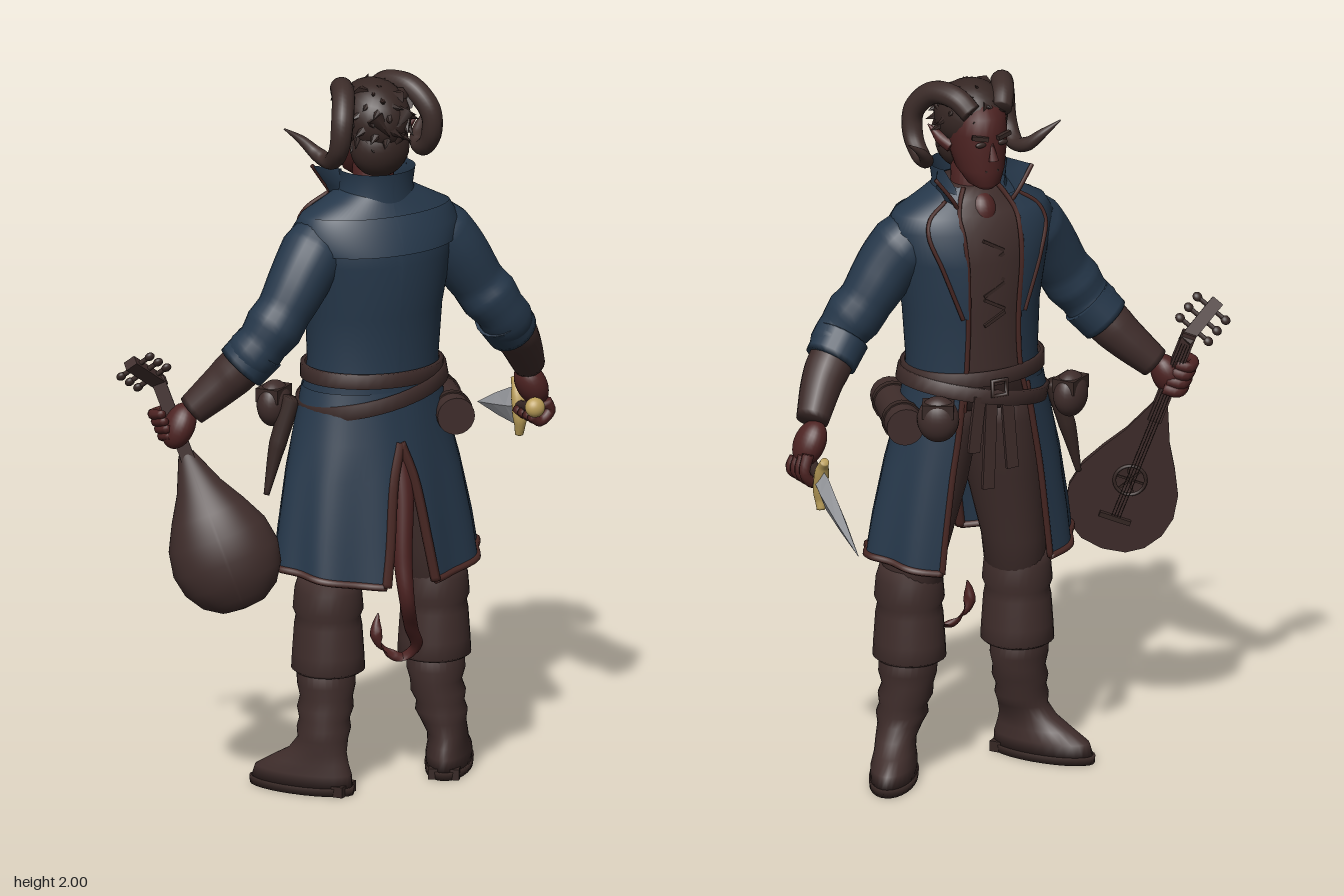
import * as THREE from 'three';
import { mergeVertices } from 'three/addons/utils/BufferGeometryUtils.js';

const mat = (name, color) => new THREE.MeshStandardMaterial({ name, color, side: THREE.DoubleSide });
const M = {
  leather: mat('leather brown', 0x3f2d2b), dark: mat('dark brown', 0x362724), horn: mat('horn brown', 0x3d2d2a),
  blue: mat('coat blue', 0x26384b), skin: mat('red skin', 0x4d2322), trim: mat('coat trim', 0x482723),
  steel: mat('steel', 0xa3a5aa), gold: mat('gold', 0xb89c58),
};
const CX = 0.055; // body centre line
const V = (p) => new THREE.Vector3(...p);

function add(parent, name, geo, material, pos = [0, 0, 0], rot = [0, 0, 0], scale = [1, 1, 1]) {
  const m = new THREE.Mesh(geo, material);
  m.name = name;
  m.position.set(...pos); m.rotation.set(...rot); m.scale.set(...scale);
  parent.add(m);
  return m;
}

// Grid surface from rows of points; outward for rows rising and points turning from -z to +x
function grid(rows, flip = false) {
  const n = rows[0].length, idx = [];
  for (let i = 0; i < rows.length - 1; i++) for (let j = 0; j < n - 1; j++) {
    const a = i * n + j, b = a + 1, c = a + n, d = c + 1;
    flip ? idx.push(a, b, c, b, d, c) : idx.push(a, c, b, b, c, d);
  }
  let g = new THREE.BufferGeometry();
  g.setAttribute('position', new THREE.Float32BufferAttribute(rows.flat(2), 3));
  g.setIndex(idx);
  g = mergeVertices(g, 1e-5);
  g.computeVertexNormals();
  return g;
}
// Rings: [y, cx, cz, rx, rz, startAngle, endAngle, ripple, side lift]; angle 0 faces -z
const ringPoint = ([y, cx, cz, rx, rz, , , w = 0, lift = 0], a, s = 1) => {
  const k = 1 + w * Math.sin(9 * a);
  return [cx + s * rx * k * Math.sin(a), y + lift * Math.sin(a) ** 2, cz - rz * k * Math.cos(a)];
};
const sweep = (rings, seg, s = 1) => rings.map((r) => Array.from({ length: seg + 1 },
  (_, j) => ringPoint(r, (r[5] ?? 0) + ((r[6] ?? Math.PI * 2) - (r[5] ?? 0)) * j / seg, s)));
const capped = (r) => {
  const end = (q) => [q[0], q[1], q[2], 0, 0];
  return [end(r[0]), ...r, end(r[r.length - 1])];
};
const loft = (rings, seg = 28) => grid(sweep(capped(rings), seg));
const panel = (rings, s) => grid(sweep(rings, 36, s), s < 0);

// Tube of changing radius along a curve, closed at both ends
function taper(pts, radii, n = 24, seg = 12) {
  const c = new THREE.CatmullRomCurve3(pts.map(V)), f = c.computeFrenetFrames(n), rows = [];
  for (let i = -1; i <= n + 1; i++) {
    const k = Math.min(n, Math.max(0, i)), t = k / n, u = t * (radii.length - 1), q = Math.min(radii.length - 2, Math.floor(u));
    const r = i === k ? THREE.MathUtils.lerp(radii[q], radii[q + 1], u - q) : 0, p = c.getPoint(t);
    rows.push(Array.from({ length: seg + 1 }, (_, j) => {
      const a = j / seg * Math.PI * 2;
      return p.clone().addScaledVector(f.normals[k], r * Math.cos(a)).addScaledVector(f.binormals[k], r * Math.sin(a)).toArray();
    }));
  }
  return grid(rows, true);
}
const ball = new THREE.SphereGeometry(1, 24, 16);
const box = (x, y, z) => new THREE.BoxGeometry(x, y, z);

function buildCoat(g) {
  const body = [
    [1.08, CX - 0.01, 0.13, 0.205, 0.155, 0.5], [1.2, CX, 0.125, 0.188, 0.148, 0.45], [1.35, CX, 0.13, 0.197, 0.152, 0.4],
    [1.5, CX, 0.135, 0.224, 0.164, 0.38], [1.59, CX, 0.138, 0.245, 0.145, 0.36], [1.63, CX, 0.14, 0.222, 0.122, 0.4],
    [1.67, CX, 0.143, 0.145, 0.1, 0.5], [1.7, CX, 0.145, 0.09, 0.087, 0.6]];
  const skirt = [
    [0.61, CX - 0.008, 0.157, 0.3, 0.206, 0.6, Math.PI - 0.25, 0.03, 0.04], [0.72, CX - 0.008, 0.152, 0.288, 0.196, 0.58, Math.PI - 0.2, 0.025, 0.02],
    [0.9, CX - 0.01, 0.144, 0.258, 0.178, 0.55, Math.PI - 0.12, 0.015], [1.0, CX - 0.01, 0.137, 0.232, 0.166, 0.53, Math.PI, 0.006],
    [1.14, CX - 0.008, 0.13, 0.2, 0.152, 0.5, Math.PI]];
  const collar = [[1.64, CX, 0.14, 0.125, 0.107, 0.6], [1.7, CX, 0.143, 0.102, 0.098, 0.8], [1.75, CX, 0.147, 0.108, 0.1, 1.1]];
  const lapel = body.slice(2, 7).map(([y, x, z, rx, rz, a], i) => [y, x, z, rx * 1.035, rz * 1.05, a, a + [0.08, 0.32, 0.42, 0.4, 0.3][i]]);
  const yoke = [[1.535, CX, 0.138, 0.235, 0.17, 1.9], [1.59, CX, 0.139, 0.247, 0.151, 1.9], [1.635, CX, 0.14, 0.22, 0.124, 1.9]];
  for (const r of [body, collar, yoke]) r.forEach((q) => { q[6] = Math.PI; });
  add(g, 'shirt', loft(body.map(([y, x, z, rx, rz]) => [y, x, z, rx * 0.95, rz * 0.94])), M.leather);
  for (const s of [1, -1]) {
    for (const [name, rings] of [['coatBody', body], ['coatSkirt', skirt], ['coatCollar', collar], ['coatLapel', lapel], ['coatYoke', yoke]])
      add(g, name, panel(rings, s), M.blue);
    // spread collar points
    const X = (x) => CX + s * x;
    add(g, 'collarPoint', grid([[[X(0.075), 1.64, 0.05], [X(0.115), 1.655, 0.12]], [[X(0.1), 1.68, 0.04], [X(0.105), 1.7, 0.13]], [[X(0.148), 1.745, 0.05], [X(0.1), 1.75, 0.13]]]), M.blue);
    add(g, 'collarTrim', taper([[X(0.075), 1.64, 0.05], [X(0.1), 1.68, 0.04], [X(0.148), 1.745, 0.05]], [0.006, 0.006], 12, 6), M.trim);
    // edging along the openings and hem
    const edge = (rings, k, r = 0.009) => add(g, 'coatTrim', taper(rings.map((q) => ringPoint(q, q[k], s)), [r, r], 30, 6), M.trim);
    edge(body, 5, 0.007); edge(skirt, 5); edge(skirt.slice(0, 4), 6, 0.014); edge(lapel, 6, 0.006);
    const h = skirt[0], hem = Array.from({ length: 25 }, (_, i) => ringPoint(h, h[5] + (h[6] - h[5]) * i / 24, s));
    add(g, 'hemTrim', taper(hem, [0.01, 0.01], 60, 6), M.trim);
  }
  // shirt lacing
  for (let i = 0; i < 6; i++) add(g, 'shirtLace', box(0.07, 0.009, 0.008), M.dark, [CX, 1.34 + i * 0.042, -0.016 + i * 0.0015], [0, 0, i % 2 ? 0.5 : -0.5]);
  add(g, 'chestSkin', ball, M.skin, [CX, 1.625, 0.07], [0, 0, 0], [0.045, 0.06, 0.05]);
}

function buildHead(g) {
  add(g, 'neck', loft([[1.58, CX, 0.13, 0.065, 0.065], [1.68, CX, 0.13, 0.056, 0.058], [1.78, CX, 0.125, 0.055, 0.06]]), M.skin);
  add(g, 'face', loft([[1.705, CX, 0.045, 0.022, 0.028], [1.72, CX, 0.05, 0.045, 0.05], [1.76, CX, 0.075, 0.066, 0.078], [1.81, CX, 0.09, 0.076, 0.093],
    [1.86, CX, 0.1, 0.082, 0.104], [1.91, CX, 0.11, 0.08, 0.108], [1.95, CX, 0.115, 0.06, 0.08]]), M.skin);
  add(g, 'nose', new THREE.ConeGeometry(0.015, 0.06, 8), M.skin, [CX, 1.825, -0.005], [0.2, 0, 0]);
  add(g, 'mouth', box(0.04, 0.006, 0.008), M.dark, [CX, 1.763, 0.003]);
  add(g, 'hair', ball, M.dark, [CX, 1.89, 0.13], [0.3, 0, 0], [0.099, 0.1, 0.115]);
  add(g, 'napeHair', ball, M.dark, [CX, 1.81, 0.165], [0, 0, 0], [0.085, 0.085, 0.07]);
  // tousled locks over the crown and back
  for (let i = 0; i < 80; i++) {
    const u = 1 - 1.6 * (i + 0.5) / 80, a = i * 2.4, q = Math.sqrt(1 - u * u);
    const d = V([q * Math.sin(a), u, q * Math.cos(a)]);
    if (d.z < -0.2 && d.y < 0.35) continue;
    const lock = add(g, 'hairLock', new THREE.ConeGeometry(0.026, 0.07, 6), M.dark,
      [CX + d.x * 0.09, 1.878 + d.y * 0.095, 0.128 + d.z * 0.108]);
    lock.quaternion.setFromUnitVectors(V([0, 1, 0]), d.clone().add(V([Math.sin(i * 7) * 0.9, -0.7, Math.cos(i * 5) * 0.8])).normalize());
  }
  for (const s of [1, -1]) {
    const X = (x) => CX + s * x;
    add(g, 'eye', ball, M.dark, [X(0.033), 1.842, 0.002], [0, 0, 0], [0.016, 0.008, 0.006]);
    add(g, 'eyebrow', box(0.046, 0.012, 0.012), M.dark, [X(0.036), 1.862, 0.0], [0, -s * 0.3, s * 0.15]);
    add(g, 'ear', taper([[X(0.07), 1.815, 0.105], [X(0.092), 1.835, 0.13], [X(0.118), 1.87, 0.155]], [0.02, 0.018, 0.002]), M.skin);
    add(g, 'horn', taper([[X(0.045), 1.925, 0.035], [X(0.07), 1.96, 0.075], [X(0.105), 1.96, 0.15], [X(0.137), 1.9, 0.203], [X(0.143), 1.825, 0.195],
      [X(0.142), 1.78, 0.145], [X(0.155), 1.79, 0.09], [X(0.185), 1.825, 0.06], [X(0.232), 1.86, 0.045]],
    [0.03, 0.032, 0.032, 0.031, 0.028, 0.025, 0.02, 0.013, 0.002], 60, 14), M.horn);
  }
}

function buildLegs(g) {
  for (const s of [1, -1]) {
    const x = s > 0 ? 0.23 : -0.1, leg = new THREE.Group();
    leg.name = 'leg'; g.add(leg);
    add(leg, 'trouserLeg', loft([[0.48, x, 0.155, 0.08, 0.085], [0.65, x - s * 0.015, 0.15, 0.086, 0.098], [0.85, x - s * 0.05, 0.14, 0.105, 0.118],
      [1.02, x - s * 0.075, 0.13, 0.11, 0.125], [1.12, CX + s * 0.07, 0.13, 0.1, 0.12]]), M.leather);
    add(leg, 'bootCuff', loft([[0.335, x, 0.155, 0.088, 0.09], [0.345, x, 0.155, 0.1, 0.106], [0.39, x, 0.155, 0.098, 0.102], [0.47, x, 0.155, 0.092, 0.098],
      [0.495, x, 0.155, 0.087, 0.094], [0.515, x, 0.155, 0.096, 0.101], [0.57, x, 0.155, 0.091, 0.097], [0.605, x, 0.155, 0.08, 0.087]]), M.leather);
    const boot = new THREE.Group();
    boot.name = 'boot'; boot.position.set(x + s * 0.03, 0, 0.172); boot.rotation.y = -s * 0.6;
    leg.add(boot);
    const i = -s * 0.03; // the shaft leans inward from the foot
    add(boot, 'sole', loft([[0, 0, -0.06, 0.064, 0.156], [0.022, 0, -0.06, 0.066, 0.158]]), M.dark);
    add(boot, 'bootShaft', loft([[0.02, 0, -0.06, 0.063, 0.152], [0.055, 0, -0.055, 0.062, 0.145], [0.085, 0, -0.035, 0.056, 0.115], [0.115, 0, -0.012, 0.056, 0.085],
      [0.15, i * 0.3, 0, 0.062, 0.071], [0.18, i * 0.5, 0, 0.072, 0.075], [0.205, i * 0.6, 0, 0.066, 0.07], [0.235, i * 0.8, 0, 0.076, 0.078],
      [0.265, i, 0, 0.071, 0.073], [0.3, i, 0, 0.081, 0.08], [0.4, i * 1.2, -0.01, 0.08, 0.08]]), M.leather);
    add(boot, 'heel', box(0.085, 0.03, 0.07), M.dark, [0, 0.015, 0.05]);
  }
  add(g, 'tail', taper([[0.05, 1.02, 0.26], [0.05, 0.86, 0.305], [0.035, 0.68, 0.335], [0.04, 0.56, 0.35], [0.075, 0.47, 0.31], [0.108, 0.405, 0.275],
    [0.075, 0.372, 0.25], [0.03, 0.4, 0.24], [0.005, 0.45, 0.235], [0.015, 0.5, 0.23]],
  [0.034, 0.031, 0.026, 0.021, 0.019, 0.017, 0.016, 0.015, 0.02, 0.002], 60), M.skin);
}

function buildArms(g) {
  for (const s of [1, -1]) {
    const X = (x) => CX + s * x, arm = new THREE.Group(), z = s > 0 ? 0.03 : 0;
    arm.name = 'arm'; g.add(arm);
    add(arm, 'sleeve', taper([[X(0.165), 1.568, 0.14], [X(0.23), 1.49, 0.16], [X(0.3), 1.385, 0.17], [X(0.36), 1.3, 0.16 + z], [X(0.408), 1.235, 0.135 + z]],
      [0.08, 0.092, 0.088, 0.083, 0.076, 0.081, 0.071, 0.075, 0.066], 32, 20), M.blue);
    add(arm, 'sleeveCuff', taper([[X(0.365), 1.285, 0.153 + z], [X(0.413), 1.228, 0.132 + z]], [0.076, 0.073], 6, 20), M.blue);
    const wrist = s > 0 ? [0.565, 1.095, 0.08] : [-0.475, 1.105, 0.065], hand = s > 0 ? [0.575, 1.035, 0.075] : [-0.512, 1.065, 0.06];
    add(arm, 'bracer', taper([[X(0.395), 1.25, 0.14 + z], [X(0.45), 1.185, 0.105 + z], wrist], [0.064, 0.063, 0.055, 0.045], 16, 16), M.leather);
    add(arm, 'hand', ball, M.skin, hand, [0, 0, s * 0.45], [0.042, 0.066, 0.05]);
    // curled fingers around the grip
    for (let i = 0; i < 4; i++) {
      const pts = s > 0
        ? [[0.605, 1.02 - i * 0.01, 0.025 + i * 0.026], [0.618, 0.97 - i * 0.003, 0.02 + i * 0.028], [0.585, 0.935, 0.025 + i * 0.028], [0.55, 0.955, 0.03 + i * 0.028]]
        : [[-0.485 - i * 0.012, 1.04 + i * 0.022, 0.03], [-0.515 - i * 0.012, 1.03 + i * 0.022, 0.01], [-0.55 - i * 0.01, 1.035 + i * 0.022, 0.035], [-0.548 - i * 0.008, 1.045 + i * 0.022, 0.08]];
      add(arm, 'finger', taper(pts, [0.017, 0.016, 0.015, 0.011], 12, 8), M.skin);
    }
  }
}

function buildBelts(g) {
  const band = (y, h, r, tilt) => {
    const hoop = [[-h, 0, 0, r, r * 0.79], [-h, 0, 0, r + 0.012, r * 0.79 + 0.012], [h, 0, 0, r + 0.012, r * 0.79 + 0.012], [h, 0, 0, r, r * 0.79]];
    add(g, 'belt', grid(sweep(hoop, 40)), M.leather, [CX - 0.004, y, 0.128], [0, 0, tilt]);
  };
  band(1.175, 0.02, 0.193, -0.02);
  band(1.12, 0.02, 0.207, 0.2);
  add(g, 'buckle', new THREE.TorusGeometry(0.03, 0.007, 8, 4), M.dark, [CX, 1.15, -0.045], [0, 0, Math.PI / 4]);
  for (const [x, y, h] of [[0.02, 1.02, 0.22], [0.08, 1.0, 0.28], [0.12, 1.05, 0.16]])
    add(g, 'hangingStrap', box(0.035, h, 0.012), M.leather, [x, y, -0.035], [0, 0, (x - 0.06) * 2]);
  // rolled pack on the hip
  const roll = add(g, 'hipRoll', new THREE.CylinderGeometry(0.052, 0.052, 0.28, 20), M.leather, [0.262, 1.05, 0.165], [Math.PI / 2, 0, 0.3]);
  for (const y of [-0.08, 0.08]) add(roll, 'rollStrap', new THREE.CylinderGeometry(0.056, 0.056, 0.022, 20), M.dark, [0, y, 0]);
  for (const [x, z, a] of [[0.225, -0.01, -0.5], [-0.195, 0.02, 0.6]]) {
    const pouch = add(g, 'pouch', ball, M.leather, [x, 1.075, z], [0, a, 0], [0.058, 0.065, 0.045]);
    add(pouch, 'pouchFlap', box(1.5, 0.6, 1.5), M.dark, [0, 0.45, 0]);
  }
  add(g, 'scabbard', taper([[-0.165, 1.1, 0.07], [-0.205, 0.97, 0.06], [-0.24, 0.83, 0.06]], [0.026, 0.024, 0.008]), M.dark);
}

function buildDagger(g) {
  const d = new THREE.Group(), from = V([0.583, 0.948, -0.012]), y = V([0.65, 0.857, -0.37]).sub(from), L = y.length();
  d.name = 'dagger'; y.normalize();
  const x = V([0, 1, 0]).addScaledVector(y, -y.y).normalize();
  d.quaternion.setFromRotationMatrix(new THREE.Matrix4().makeBasis(x, y, x.clone().cross(y)));
  d.position.copy(from); g.add(d);
  const blade = loft([[0, 0, 0, 0.042, 0.018], [0.06, 0, 0, 0.05, 0.02], [0.2, 0, 0, 0.031, 0.014], [L, 0, 0, 0.001, 0.001]], 4).toNonIndexed();
  blade.computeVertexNormals();
  add(d, 'blade', blade, M.steel);
  add(d, 'guard', taper([[-0.078, 0.015, 0], [-0.04, -0.002, 0], [0.04, -0.002, 0], [0.078, 0.015, 0]], [0.012, 0.015, 0.021, 0.021, 0.015, 0.012]), M.gold);
  add(d, 'grip', new THREE.CylinderGeometry(0.016, 0.016, 0.14, 12), M.dark, [0, -0.07, 0]);
  add(d, 'pommel', ball, M.gold, [0, -0.15, 0], [0, 0, 0], [0.028, 0.023, 0.028]);
}

function buildLute(g) {
  const l = new THREE.Group();
  l.name = 'lute'; l.position.set(-0.422, 0.74, 0.125); l.rotation.set(-0.12, -0.45, 0.3); g.add(l);
  const prof = [[-0.2, 0.002], [-0.19, 0.064], [-0.16, 0.108], [-0.11, 0.14], [-0.05, 0.152], [0.02, 0.14], [0.09, 0.105], [0.16, 0.064], [0.26, 0.022]];
  for (const s of [1, -1]) add(l, 'luteBowl', panel(prof.map(([y, r]) => [y, 0, 0, r, r * 0.68, Math.PI / 2, Math.PI]), s), M.leather);
  const pts = [...prof.map(([y, r]) => new THREE.Vector2(r, y)), ...prof.slice().reverse().map(([y, r]) => new THREE.Vector2(-r, y))];
  const face = new THREE.Shape(pts);
  face.holes.push(new THREE.Path().absarc(0, 0.02, 0.042, 0, Math.PI * 2, true));
  add(l, 'soundboard', new THREE.ExtrudeGeometry(face, { depth: 0.008, bevelEnabled: false }), M.leather, [0, 0, -0.008]);
  add(l, 'rosette', new THREE.TorusGeometry(0.043, 0.005, 6, 28), M.dark, [0, 0.02, -0.009]);
  for (let i = 0; i < 3; i++) add(l, 'roseLattice', box(0.084, 0.006, 0.005), M.dark, [0, 0.02, -0.004], [0, 0, i * Math.PI / 3]);
  add(l, 'bridge', box(0.09, 0.014, 0.014), M.dark, [0, -0.1, -0.013]);
  add(l, 'neck', box(0.038, 0.28, 0.03), M.leather, [0, 0.35, 0]);
  for (let i = 0; i < 4; i++) add(l, 'string', box(0.002, 0.56, 0.002), M.dark, [-0.012 + i * 0.008, 0.18, -0.018]);
  const head = new THREE.Group();
  head.name = 'pegbox'; head.position.set(0, 0.475, 0); head.rotation.set(0.75, 0, 0.4); l.add(head);
  add(head, 'pegboxBody', box(0.036, 0.15, 0.028), M.leather, [0, 0.06, 0]);
  for (let i = 0; i < 3; i++) {
    add(head, 'tuningPeg', new THREE.CylinderGeometry(0.007, 0.007, 0.1, 8), M.dark, [0, 0.03 + i * 0.04, 0], [0, 0, Math.PI / 2]);
    for (const s of [1, -1]) add(head, 'pegKnob', ball, M.dark, [s * 0.05, 0.03 + i * 0.04, 0], [0, 0, 0], [0.014, 0.013, 0.01]);
  }
}

export function createModel() {
  const g = new THREE.Group();
  g.name = 'hornedBard';
  for (const build of [buildLegs, buildCoat, buildBelts, buildArms, buildHead, buildDagger, buildLute]) build(g);
  return g;
}
